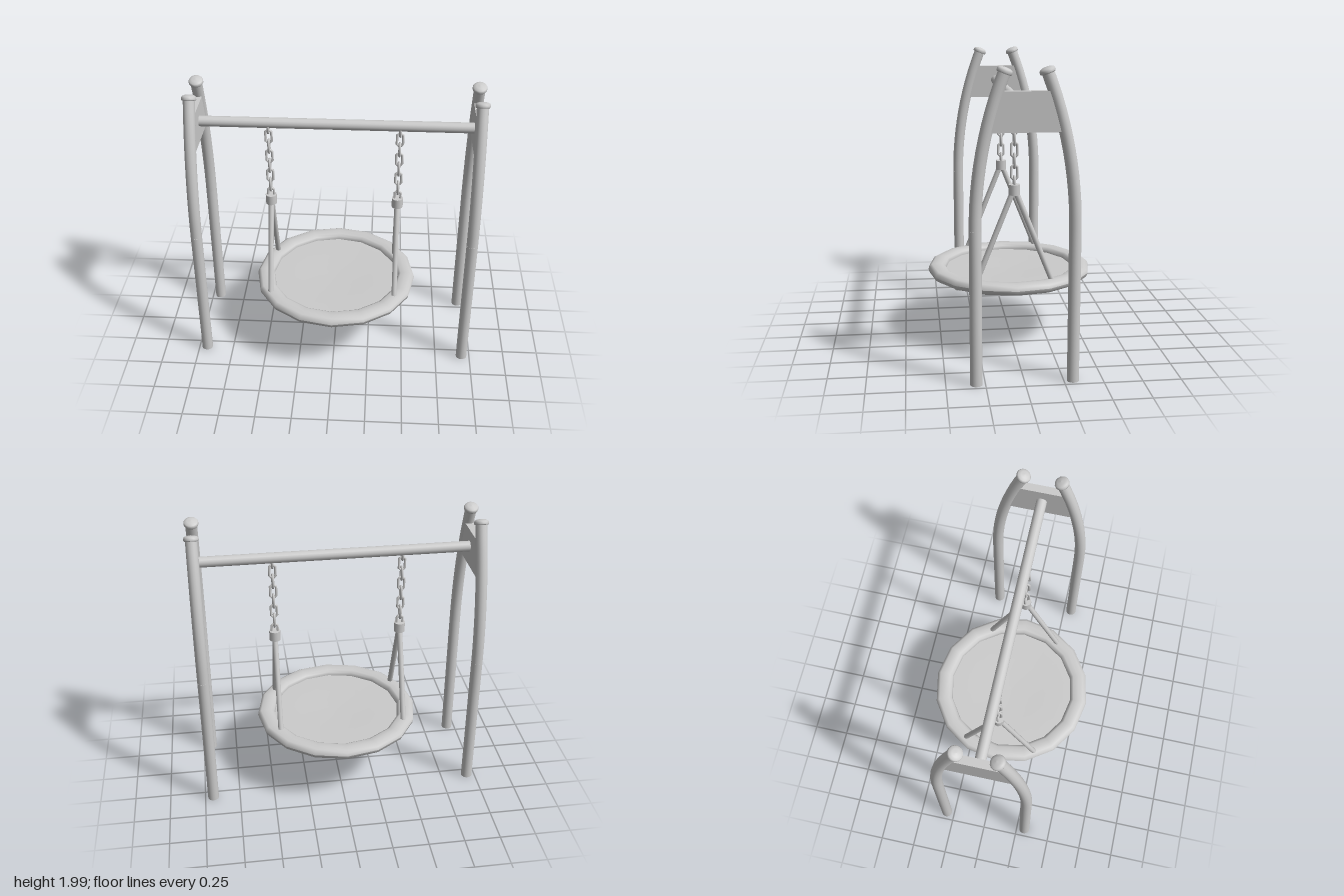
import * as THREE from 'three';

const material = new THREE.MeshStandardMaterial({ color: 0xcccccc });

function add(parent, name, geometry) {
  const mesh = new THREE.Mesh(geometry, material);
  mesh.name = name;
  parent.add(mesh);
  return mesh;
}

// Straight round bar between two points
function bar(parent, name, a, b, radius, sides) {
  const dir = b.clone().sub(a);
  const mesh = add(parent, name, new THREE.CylinderGeometry(radius, radius, dir.length(), sides));
  mesh.position.copy(a).add(b).multiplyScalar(0.5);
  mesh.quaternion.setFromUnitVectors(new THREE.Vector3(0, 1, 0), dir.normalize());
  return mesh;
}

const v = (x, y) => new THREE.Vector2(x, y);

// Leg centre line: vertical to BEND_Y, then an arc leaning inward
const LEG_Z = 0.308, BEND_Y = 1.0, ARC_R = 2.64, LEG_TOP = 1.955, LEG_R = 0.039;
const legZ = (y) => (y < BEND_Y ? LEG_Z : LEG_Z - ARC_R + Math.sqrt(ARC_R ** 2 - (y - BEND_Y) ** 2));

function createLeg() {
  const leg = new THREE.Group();
  leg.name = 'leg';
  const lower = add(leg, 'lowerLeg', new THREE.CylinderGeometry(LEG_R, LEG_R, BEND_Y, 16));
  lower.position.set(0, BEND_Y / 2, LEG_Z);

  const points = [];
  for (let i = 0; i <= 8; i++) {
    const y = BEND_Y + (LEG_TOP - BEND_Y) * i / 8;
    points.push(new THREE.Vector3(0, y, legZ(y)));
  }
  add(leg, 'curvedUpperLeg', new THREE.TubeGeometry(new THREE.CatmullRomCurve3(points), 12, LEG_R, 16));

  // Domed cap, tilted with the end of the leg
  const profile = [v(0, -0.006), v(0.046, -0.006), v(0.049, 0), v(0.049, 0.012), v(0.044, 0.022), v(0.026, 0.029), v(0, 0.032)];
  const cap = add(leg, 'legCap', new THREE.LatheGeometry(profile, 16));
  cap.position.set(0, LEG_TOP, legZ(LEG_TOP));
  cap.rotation.x = -Math.asin((LEG_TOP - BEND_Y) / ARC_R);
  return leg;
}

function createSideFrame() {
  const frame = new THREE.Group();
  frame.name = 'sideFrame';
  const front = createLeg();
  const back = createLeg();
  back.rotation.y = Math.PI;
  frame.add(front, back);

  // Tapered plate joining the two legs
  const low = 1.6, high = 1.845, thick = 0.055;
  const plate = new THREE.Shape([
    v(-legZ(low), low), v(legZ(low), low), v(legZ(high), high), v(-legZ(high), high),
  ]);
  const geometry = new THREE.ExtrudeGeometry(plate, { depth: thick, bevelEnabled: false });
  geometry.translate(0, 0, -thick / 2).rotateY(-Math.PI / 2);
  add(frame, 'joiningPlate', geometry);
  return frame;
}

// Chain link: eight-sided ring stretched along y
function linkGeometry() {
  const geometry = new THREE.TorusGeometry(0.022, 0.009, 8, 8).rotateZ(Math.PI / 8);
  const pos = geometry.attributes.position;
  for (let i = 0; i < pos.count; i++) pos.setY(i, pos.getY(i) + Math.sign(pos.getY(i)) * 0.025);
  return geometry;
}

function createHanger() {
  const hanger = new THREE.Group();
  hanger.name = 'hanger';
  const link = linkGeometry();
  for (let i = 0; i < 8; i++) {
    const mesh = add(hanger, 'chainLink', link);
    mesh.position.y = 1.71 - i * 0.0755;
    mesh.rotation.y = i % 2 ? 0 : Math.PI / 2;
  }
  add(hanger, 'clamp', new THREE.CylinderGeometry(0.039, 0.039, 0.07, 12)).position.y = 1.14;
  for (const s of [-1, 1]) {
    bar(hanger, 'seatRod', new THREE.Vector3(0, 1.13, s * 0.008), new THREE.Vector3(0, 0.48, s * 0.268), 0.019, 10);
  }
  return hanger;
}

function createSeat() {
  const seat = new THREE.Group();
  seat.name = 'seat';
  // Padded rim with a rounded, flattened section
  const rim = [];
  for (let i = 0; i <= 12; i++) {
    const a = -Math.PI * 2 * i / 12;
    const soft = (t) => Math.sign(t) * Math.abs(t) ** 0.75;
    rim.push(v(0.516 + 0.062 * soft(Math.cos(a)), 0.039 * soft(Math.sin(a))));
  }
  add(seat, 'seatRim', new THREE.LatheGeometry(rim.reverse(), 16));
  // Thin, slightly sagging seat base
  const base = [v(0, -0.024), v(0.25, -0.02), v(0.48, -0.01), v(0.48, 0), v(0.25, -0.01), v(0, -0.014)];
  add(seat, 'seatBase', new THREE.LatheGeometry(base, 16));
  seat.position.y = 0.479;
  return seat;
}

export function createModel() {
  const model = new THREE.Group();
  model.name = 'nestSwing';

  for (const s of [-1, 1]) {
    const frame = createSideFrame();
    frame.position.x = s * 0.942;
    model.add(frame);
  }
  bar(model, 'crossbeam', new THREE.Vector3(-0.935, 1.735, 0.005), new THREE.Vector3(0.935, 1.735, 0.005), 0.036, 16);

  for (const x of [-0.453, 0.43]) {
    const hanger = createHanger();
    hanger.position.set(x, 0, 0.01);
    model.add(hanger);
  }
  model.add(createSeat());
  return model;
}
